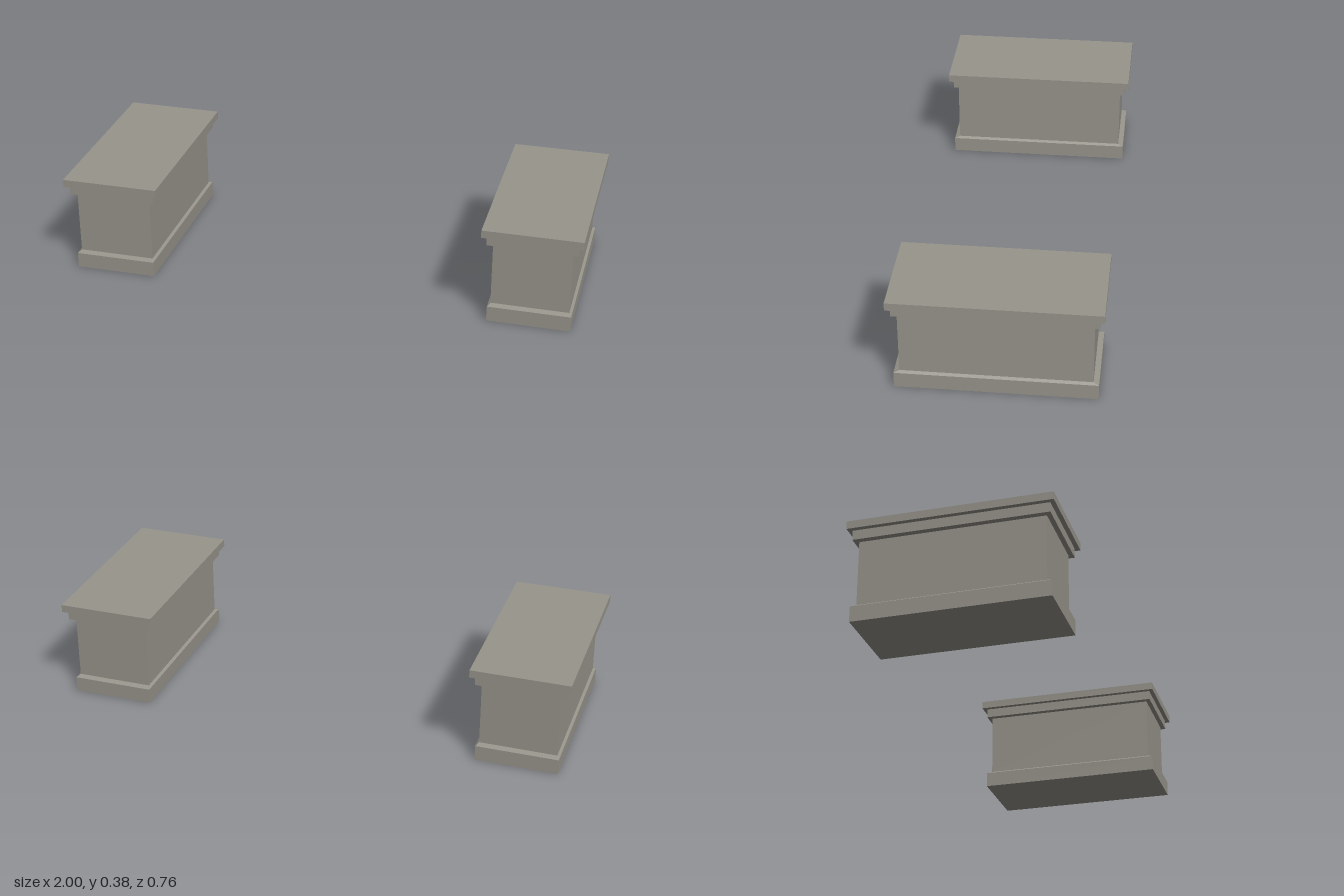
import * as THREE from 'three';

const stone = new THREE.MeshStandardMaterial({ color: 0x97948b });
stone.name = 'stone';

// Rectangular block from y0 to y1; the top may be narrower than the bottom
function block(name, y0, y1, halfX, halfZ, topX = halfX, topZ = halfZ) {
  const geo = new THREE.BoxGeometry(2, y1 - y0, 2).toNonIndexed();
  const pos = geo.attributes.position;
  for (let i = 0; i < pos.count; i++) {
    const top = pos.getY(i) > 0;
    pos.setX(i, pos.getX(i) * (top ? topX : halfX));
    pos.setZ(i, pos.getZ(i) * (top ? topZ : halfZ));
  }
  geo.computeVertexNormals();
  const mesh = new THREE.Mesh(geo, stone);
  mesh.name = name;
  mesh.position.y = (y0 + y1) / 2;
  return mesh;
}

function createPedestal(name, x) {
  const pedestal = new THREE.Group();
  pedestal.name = name;
  pedestal.position.x = x;
  pedestal.add(
    block('plinth', 0, 0.06, 0.157, 0.363),
    // Sloped ledge from plinth to shaft
    block('plinthBevel', 0.06, 0.067, 0.157, 0.363, 0.147, 0.343),
    block('shaft', 0.067, 0.317, 0.147, 0.343),
    // Two-step cornice
    block('lowerCornice', 0.317, 0.354, 0.169, 0.361),
    block('topSlab', 0.354, 0.384, 0.187, 0.378),
  );
  return pedestal;
}

export function createModel() {
  const model = new THREE.Group();
  model.name = 'pedestalPair';
  model.add(createPedestal('leftPedestal', 0.813), createPedestal('rightPedestal', -0.813));
  return model;
}
